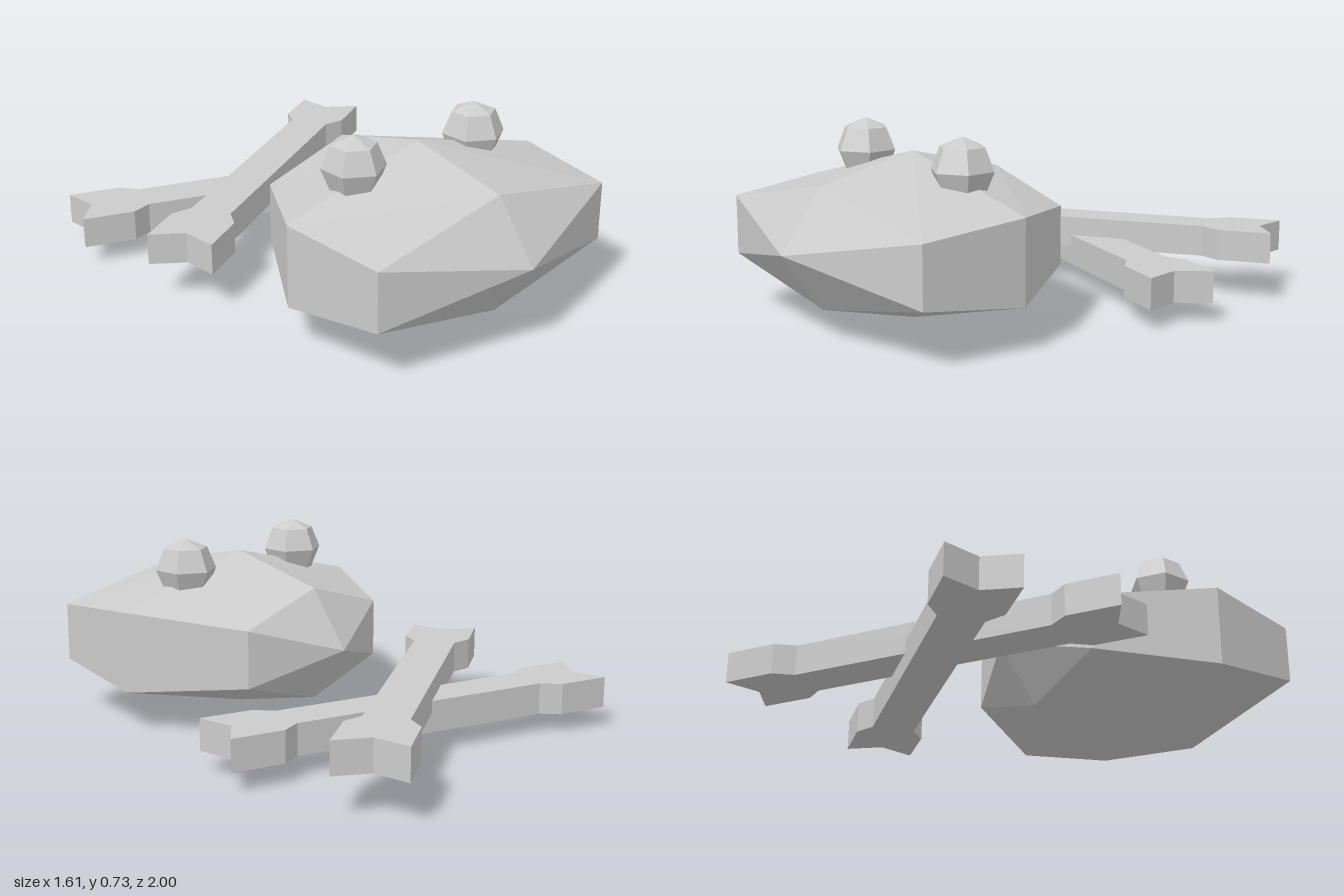
import * as THREE from 'three';

const material = new THREE.MeshStandardMaterial({ color: 0xcccccc, flatShading: true });

function addMesh(group, geometry, name) {
  const mesh = new THREE.Mesh(geometry, material);
  mesh.name = name;
  group.add(mesh);
  return mesh;
}

// Six-sided section: ridge, two shoulders, two lower corners, keel
function section({ z, w, ridge, upper, lower, keel }) {
  return [[0, ridge, z], [w, upper, z], [w, lower, z], [0, keel, z], [-w, lower, z], [-w, upper, z]];
}

// Faceted body lofted through three sections and closed to a point at each end
function bodyGeometry() {
  const tip = (y, z) => Array(6).fill([0, y, z]);
  const rings = [
    tip(0.33, 1.0),
    section({ z: 0.83, w: 0.57, ridge: 0.555, upper: 0.443, lower: 0.215, keel: 0.105 }),
    section({ z: 0.415, w: 0.615, ridge: 0.64, upper: 0.48, lower: 0.163, keel: 0 }),
    section({ z: 0, w: 0.363, ridge: 0.54, upper: 0.43, lower: 0.205, keel: 0.095 }),
    tip(0.315, -0.16),
  ];
  const positions = [];
  for (let i = 0; i < rings.length - 1; i++) {
    for (let j = 0; j < 6; j++) {
      const k = (j + 1) % 6;
      const a = rings[i][j], b = rings[i][k], c = rings[i + 1][j], d = rings[i + 1][k];
      if (i > 0) positions.push(...a, ...b, ...c);
      if (i < rings.length - 2) positions.push(...b, ...d, ...c);
    }
  }
  const geometry = new THREE.BufferGeometry();
  geometry.setAttribute('position', new THREE.Float32BufferAttribute(positions, 3));
  geometry.computeVertexNormals();
  return geometry;
}

// Flat bone with a notched, flared knob at both ends, lying in the ground plane
function boneGeometry() {
  const end = [[0.528, -0.083], [0.6, -0.132], [0.807, -0.132], [0.745, 0],
    [0.807, 0.132], [0.6, 0.132], [0.528, 0.083]];
  const outline = [...end, ...end.map(([x, y]) => [-x, -y])];
  const shape = new THREE.Shape(outline.map(([x, y]) => new THREE.Vector2(x, y)));
  return new THREE.ExtrudeGeometry(shape, { depth: 0.122, bevelEnabled: false }).rotateX(-Math.PI / 2);
}

export function createModel() {
  const model = new THREE.Group();
  model.name = 'headWithCrossedBones';

  addMesh(model, bodyGeometry(), 'head');

  // Low-poly eyes with a corner facing forwards
  const eye = new THREE.SphereGeometry(0.121, 6, 4).rotateY(Math.PI / 2);
  addMesh(model, eye, 'leftEye').position.set(0.29, 0.603, 0.42);
  addMesh(model, eye, 'rightEye').position.set(-0.302, 0.613, 0.406);

  // Crossed bones behind the head, one resting in the other
  const bone = boneGeometry();
  const upper = addMesh(model, bone, 'upperBone');
  upper.position.set(-0.012, 0.153, -0.491);
  upper.rotation.y = THREE.MathUtils.degToRad(29.1);
  const lower = addMesh(model, bone, 'lowerBone');
  lower.position.set(0, 0.077, -0.501);
  lower.rotation.y = THREE.MathUtils.degToRad(-19);

  return model;
}
